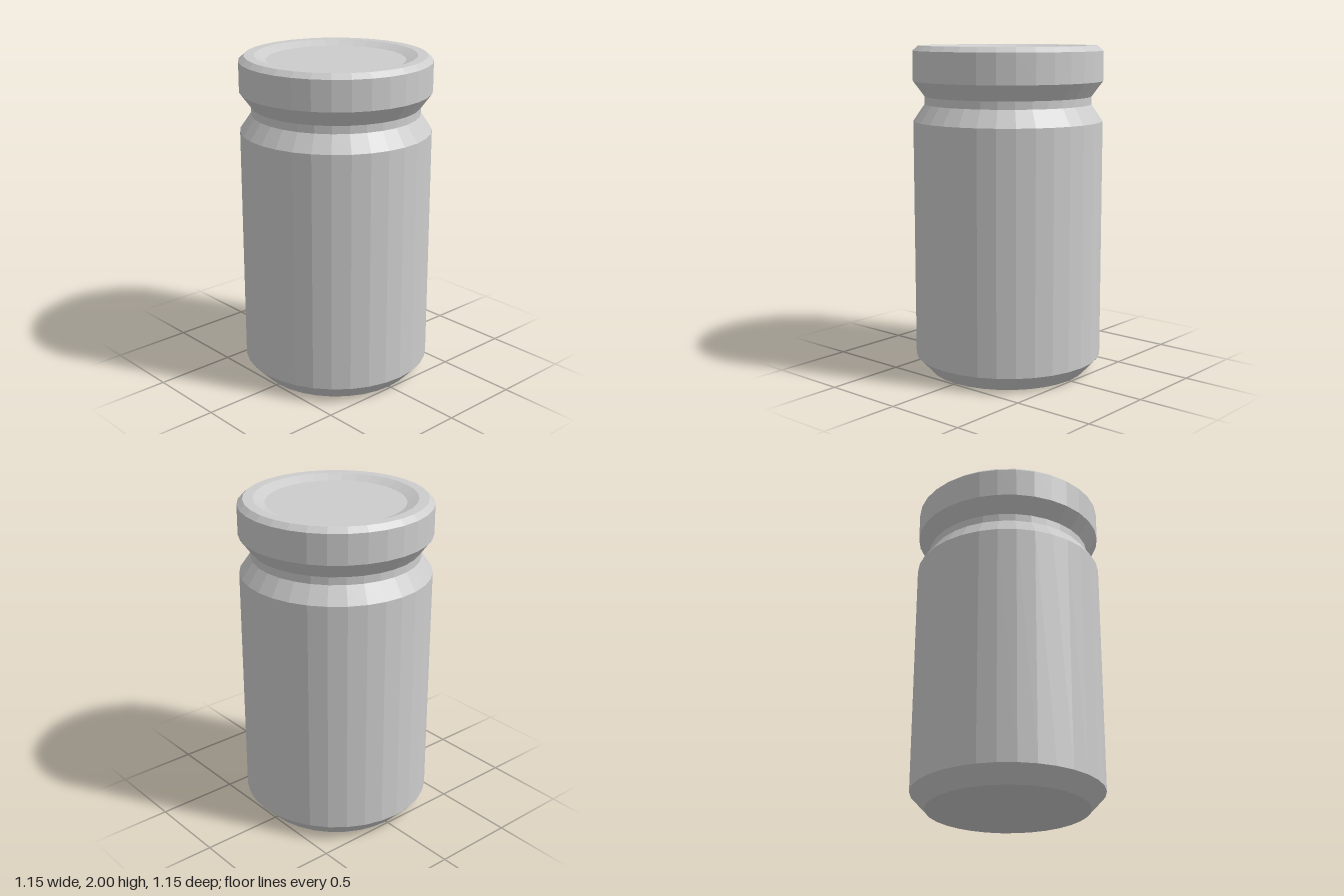
import * as THREE from 'three';

const SIDES = 32;

// Faceted solid of revolution from [radius, height] pairs, listed bottom to top
function turned(name, profile, material) {
  const points = profile.map(([r, y]) => new THREE.Vector2(r, y));
  const geometry = new THREE.LatheGeometry(points, SIDES).toNonIndexed();
  geometry.computeVertexNormals();
  const mesh = new THREE.Mesh(geometry, material);
  mesh.name = name;
  return mesh;
}

export function createModel() {
  const grey = new THREE.MeshStandardMaterial({ color: 0xcccccc, flatShading: true });
  grey.name = 'grey';

  const group = new THREE.Group();
  group.name = 'jar';

  // Body: flat base, bevelled foot, straight wall, sloped shoulder, neck
  group.add(turned('body', [
    [0, 0], [0.485, 0], [0.575, 0.097], [0.575, 1.55], [0.506, 1.65], [0.506, 1.697],
  ], grey));

  // Lid: flared underside, straight rim, bevelled edge, shallow dished top
  group.add(turned('lid', [
    [0.506, 1.697], [0.575, 1.79], [0.575, 1.97], [0.542, 2],
    [0.482, 2], [0.414, 1.972], [0, 1.972],
  ], grey));

  return group;
}
